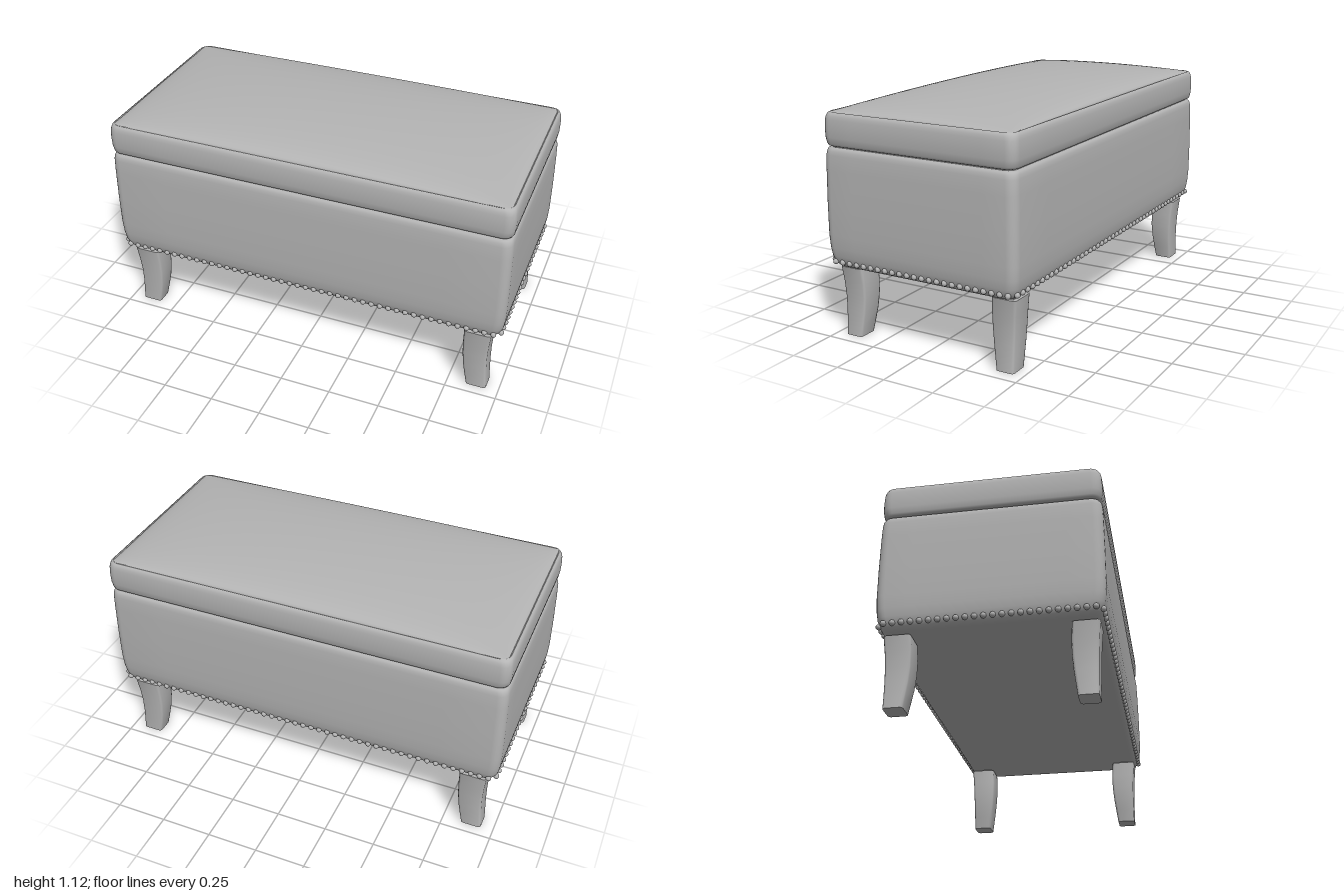
import * as THREE from 'three';
import { mergeGeometries, toCreasedNormals } from 'three/addons/utils/BufferGeometryUtils.js';

// Rounded rectangle outline [x, z]; arc steps per corner, straight steps per edge
function outline(hx, hz, r, arc, straight) {
  const pts = [];
  for (let q = 0; q < 4; q++) {
    const cx = (q === 0 || q === 3 ? 1 : -1) * (hx - r);
    const cz = (q < 2 ? 1 : -1) * (hz - r);
    for (let k = 0; k <= arc; k++) {
      const a = (q + k / arc) * Math.PI / 2;
      pts.push([cx + r * Math.cos(a), cz + r * Math.sin(a)]);
    }
  }
  const out = [];
  pts.forEach((p, i) => {
    out.push(p);
    if (i % (arc + 1) !== arc) return;
    const n = pts[(i + 1) % pts.length];
    for (let k = 1; k < straight; k++) {
      const t = k / straight;
      out.push([p[0] + (n[0] - p[0]) * t, p[1] + (n[1] - p[1]) * t]);
    }
  });
  return out;
}

// Skin closed rings of [x, y, z] stacked upwards, with end caps
function loft(rings, crease) {
  const n = rings[0].length, m = rings.length;
  const pos = rings.flat(2), idx = [];
  for (let i = 0; i < m - 1; i++) for (let j = 0; j < n; j++) {
    const a = i * n + j, b = i * n + (j + 1) % n;
    idx.push(a, a + n, b, b, a + n, b + n);
  }
  for (const [row, top] of [[0, false], [m - 1, true]]) {
    const c = [0, 1, 2].map(k => rings[row].reduce((s, p) => s + p[k], 0) / n);
    const ci = pos.length / 3;
    pos.push(...c);
    for (let j = 0; j < n; j++) {
      const a = row * n + j, b = row * n + (j + 1) % n;
      idx.push(ci, top ? b : a, top ? a : b);
    }
  }
  const g = new THREE.BufferGeometry();
  g.setAttribute('position', new THREE.Float32BufferAttribute(pos, 3));
  g.setIndex(idx);
  return toCreasedNormals(g, crease);
}

// Box with a side profile: rows of [y, inset from the full half size]
function upholstered(rows, r) {
  return loft(rows.map(([y, inset]) =>
    outline(1 - inset, 0.498 - inset, r, 6, 8).map(([x, z]) => [x, y, z])), 0.75);
}

export function createModel() {
  const group = new THREE.Group();
  const fabric = new THREE.MeshStandardMaterial({ color: 0xb4b4b4 });
  fabric.name = 'plainGrey';
  const add = (name, geometry, parent = group) => {
    const mesh = new THREE.Mesh(geometry, fabric);
    mesh.name = name;
    parent.add(mesh);
    return mesh;
  };

  // Storage box, tucked in at the bottom and the top
  add('body', upholstered([
    [0.343, 0.05], [0.347, 0.036], [0.358, 0.024], [0.375, 0.015], [0.4, 0.008], [0.44, 0.003],
    [0.5, 0], [0.65, 0], [0.8, 0.002], [0.87, 0.004], [0.888, 0.007], [0.899, 0.012], [0.904, 0.02]
  ], 0.045));

  // Dark gap between body and lid
  add('lidGap', upholstered([[0.9, 0.026], [0.914, 0.026]], 0.04));

  // Lid band with a soft top edge
  add('lid', upholstered([
    [0.908, 0.022], [0.912, 0.013], [0.922, 0.008], [0.95, 0.004], [0.99, 0.003],
    [1.03, 0.005], [1.045, 0.008], [1.057, 0.013], [1.062, 0.021], [1.057, 0.028]
  ], 0.045));

  // Domed cushion
  const hx = 0.974, hz = 0.472, rings = [[]];
  for (let i = 0; i <= 16; i++) {
    const s = Math.cos(i / 16.3 * Math.PI / 2);
    rings.push(outline(hx * s, hz * s, 0.03 * s, 6, 16).map(([x, z]) => {
      const f = Math.max(0, 1 - (x / hx) ** 2) * Math.max(0, 1 - (z / hz) ** 2);
      return [x, 1.06 + 0.064 * Math.sqrt(f), z];
    }));
  }
  rings[0] = rings[1].map(([x, , z]) => [x, 1.045, z]);
  add('cushion', loft(rings, 0.75));

  // Nail heads along the bottom edge of all four sides
  const nails = [];
  const nail = (x, z) => {
    const g = new THREE.SphereGeometry(0.0135, 10, 8);
    g.translate(x, 0.372, z);
    nails.push(g);
  };
  for (const s of [-1, 1]) {
    for (let i = 0; i < 46; i++) nail(-0.955 + 1.91 * i / 45, s * 0.483);
    for (let i = 0; i < 24; i++) nail(s * 0.985, -0.455 + 0.91 * i / 23);
  }
  add('nailHeads', mergeGeometries(nails));

  // Curved legs: rows of [y, inner x, outer x, inner z, outer z]
  const legRows = [
    [0, 0.839, 0.939, 0.364, 0.452], [0.06, 0.827, 0.935, 0.356, 0.452],
    [0.12, 0.817, 0.931, 0.348, 0.453], [0.19, 0.811, 0.930, 0.342, 0.455],
    [0.26, 0.810, 0.934, 0.341, 0.459], [0.335, 0.812, 0.942, 0.346, 0.466]
  ];
  for (const sx of [-1, 1]) for (const sz of [-1, 1]) {
    const leg = new THREE.Group();
    leg.name = (sz > 0 ? 'front' : 'back') + (sx > 0 ? 'Left' : 'Right') + 'Leg';
    add('legPost', loft(legRows.map(([y, x0, x1, z0, z1]) =>
      outline((x1 - x0) / 2, (z1 - z0) / 2, 0.012, 2, 1).map(([x, z]) =>
        [x + sx * (x0 + x1) / 2, y, z + sz * (z0 + z1) / 2])), 0.9), leg);
    add('legPad', new THREE.BoxGeometry(0.1, 0.02, 0.09), leg)
      .position.set(sx * 0.877, 0.337, sz * 0.402);
    group.add(leg);
  }
  return group;
}
